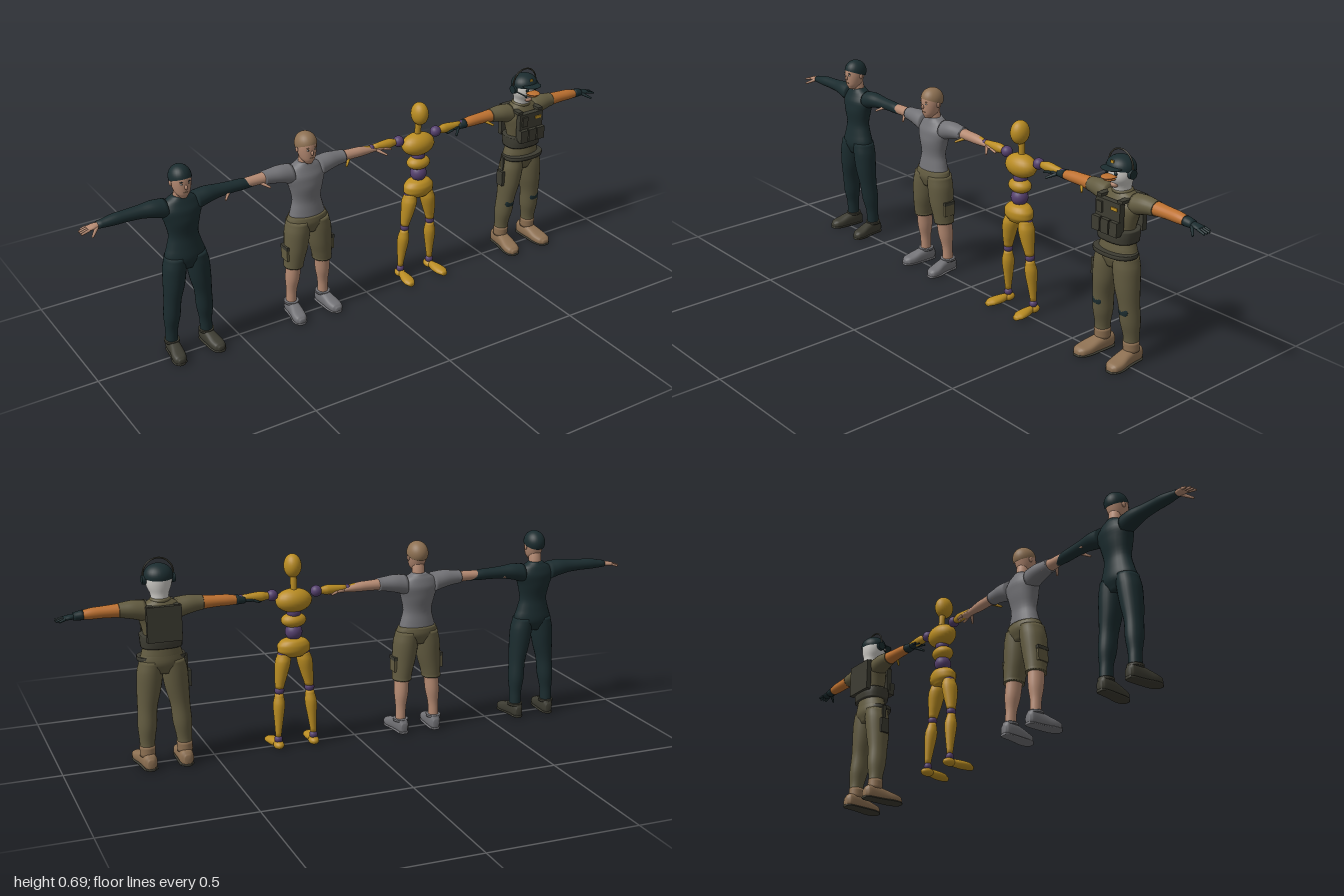
import * as THREE from 'three';

const mat = (name, color) => Object.assign(new THREE.MeshStandardMaterial({ color }), { name });
const M = {
  dark: mat('dark teal cloth', 0x1b2c2f), grey: mat('grey cloth', 0x727276), skin: mat('skin', 0xb58a72),
  khaki: mat('khaki cloth', 0x625b40), orange: mat('orange', 0xbd7130), gold: mat('gold', 0xb98c22),
  purple: mat('purple joint', 0x55406e), tan: mat('tan leather', 0x8d7052), white: mat('off white', 0xcfcdc8),
  gear: mat('dark olive gear', 0x3d3c32),
};

// Frames (u, v, w) for lofts along each axis; w is the lofting direction
const AXES = {
  x: { w: 0, u: [0, 1, 0], v: [0, 0, 1] },
  y: { w: 1, u: [1, 0, 0], v: [0, 0, -1] },
  z: { w: 2, u: [1, 0, 0], v: [0, 1, 0] },
};

// Smooth skin over rings [x, y, z, ru, rv]; e below 1 makes the section squarer
function loft(axis, ringsIn, e = 1, seg = 24, sub = 4) {
  const { w, u, v } = AXES[axis], R = [...ringsIn].sort((a, b) => a[w] - b[w]), rings = [];
  R.slice(0, -1).forEach((b, i) => {
    const a = R[Math.max(i - 1, 0)], c = R[i + 1], d = R[Math.min(i + 2, R.length - 1)];
    for (let s = 0; s < sub; s++) {
      const t = s / sub;
      rings.push(b.map((_, k) => {
        const q = 0.5 * (2 * b[k] + (c[k] - a[k]) * t + (2 * a[k] - 5 * b[k] + 4 * c[k] - d[k]) * t * t
          + (3 * b[k] - a[k] - 3 * c[k] + d[k]) * t ** 3);
        return k === w ? b[k] + (c[k] - b[k]) * t : Math.min(Math.max(q, Math.min(b[k], c[k])), Math.max(b[k], c[k]));
      }));
    }
  });
  rings.push(R[R.length - 1]);
  const pos = [], idx = [], pw = (n) => Math.sign(n) * Math.abs(n) ** e;
  for (const r of rings) for (let j = 0; j < seg; j++) {
    const t = (j / seg) * Math.PI * 2, a = r[3] * pw(Math.cos(t)), b = r[4] * pw(Math.sin(t));
    for (let k = 0; k < 3; k++) pos.push(r[k] + u[k] * a + v[k] * b);
  }
  const n = rings.length, bot = n * seg, top = bot + 1;
  pos.push(...rings[0].slice(0, 3), ...rings[n - 1].slice(0, 3));
  for (let j = 0; j < seg; j++) {
    const k = (j + 1) % seg, L = (n - 1) * seg;
    for (let i = 0; i < n - 1; i++) {
      const a = i * seg + j, b = i * seg + k;
      idx.push(a, b, b + seg, a, b + seg, a + seg);
    }
    idx.push(bot, k, j, top, L + j, L + k);
  }
  const g = new THREE.BufferGeometry();
  g.setAttribute('position', new THREE.Float32BufferAttribute(pos, 3));
  g.setIndex(idx);
  g.computeVertexNormals();
  return g;
}

// Part of a ring list between a and b along an axis, thickened by pad
function cut(rings, w, a, b, pad = 0) {
  const R = [...rings].sort((p, q) => p[w] - q[w]);
  const at = (h) => {
    const i = Math.max(1, R.findIndex((r) => r[w] >= h)), p = R[i - 1], q = R[i], t = (h - p[w]) / (q[w] - p[w]);
    return p.map((n, k) => n + (q[k] - n) * t);
  };
  return [at(a), ...R.filter((r) => r[w] > a + 0.004 && r[w] < b - 0.004), at(b)]
    .map((r) => [r[0], r[1], r[2], r[3] + pad, r[4] + pad]);
}
const mir = (rings, s) => rings.map(([x, ...r]) => [x * s, ...r]);
const ball = (x, y, z, a, b = a, c = a) => new THREE.SphereGeometry(1, 24, 16).scale(a, b, c).translate(x, y, z);
const box = (x, y, z, a, b, c) => new THREE.BoxGeometry(a, b, c).translate(x, y, z);
const dome = (x, y, z, a, b, c, tilt, arc = 0.5) => new THREE.SphereGeometry(1, 28, 12, 0, Math.PI * 2, 0, Math.PI * arc)
  .scale(a, b, c).rotateX(tilt).translate(x, y, z);
// Rounded bar between two points
function limb(p, q, r0, r1 = r0) {
  const a = new THREE.Vector3(...p), d = new THREE.Vector3(...q).sub(a), L = d.length();
  const pts = [[0, -r0 * 0.7], [r0 * 0.7, -r0 * 0.4], [r0, 0], [r1, L], [r1 * 0.7, L + r1 * 0.4], [0, L + r1 * 0.7]];
  return new THREE.LatheGeometry(pts.map((c) => new THREE.Vector2(...c)), 14)
    .applyQuaternion(new THREE.Quaternion().setFromUnitVectors(new THREE.Vector3(0, 1, 0), d.normalize()))
    .translate(...p);
}
function add(group, name, geo, material) {
  const m = new THREE.Mesh(geo, material);
  m.name = name;
  group.add(m);
}
const sides = (f) => [1, -1].forEach((s) => f(s, s > 0 ? 'left' : 'right'));

// Shared body sections
const TORSO = [[0, .315, -.015, .03, .03], [0, .35, -.016, .068, .042], [0, .39, -.017, .059, .038], [0, .43, -.018, .05, .034],
  [0, .48, -.02, .06, .041], [0, .515, -.024, .07, .041], [0, .545, -.027, .052, .031], [0, .562, -.026, .024, .024]];
const LEG = [[.034, .36, -.015, .034, .038], [.04, .32, -.014, .037, .04], [.046, .26, -.014, .034, .037], [.054, .2, -.017, .027, .031],
  [.058, .14, -.022, .026, .029], [.061, .09, -.026, .02, .021], [.062, .04, -.028, .019, .021]];
const ARM = [[.05, .525, -.028, .03, .03], [.09, .532, -.029, .026, .028], [.13, .534, -.03, .02, .022], [.18, .534, -.03, .017, .019],
  [.22, .533, -.03, .016, .018], [.28, .529, -.03, .009, .012]];
const HEAD = [[0, .564, .002, .012, .015], [0, .58, -.005, .024, .029], [0, .605, -.009, .031, .036], [0, .63, -.012, .033, .039],
  [0, .65, -.013, .028, .034], [0, .661, -.014, .014, .018]];

function hands(g, m) {
  sides((s, n) => {
    add(g, n + 'Palm', loft('x', mir([[.268, .529, -.03, .009, .011], [.288, .528, -.03, .008, .016], [.306, .526, -.03, .006, .016]], s)), m);
    [-.044, -.035, -.026, -.017].forEach((z, i) => add(g, n + 'Finger' + (i + 1),
      limb([s * .302, .526, z], [s * (i === 0 ? .32 : .329), .52, z * 1.25 + .0075], .0046, .0035), m));
    add(g, n + 'Thumb', limb([s * .278, .526, -.02], [s * .302, .512, .004], .006, .0035), m);
  });
}

function feet(g, m, sole, k = 1, top = .05) {
  sides((s, n) => {
    const w = .022 * k, foot = [[.06, .02, -.066, .011, .016], [.06, .026, -.055, w * .9, .025], [.061, .026, -.025, w, .026],
      [.064, .023, .005, w * 1.08, .0225], [.068, .018, .035, w * 1.2, .0175], [.07, .015, .06, w, .0145], [.071, .012, .071, w * .5, .009]]
      .map(([x, y, z, a, b]) => [x, y, z * k, a, b]);
    add(g, n + 'Shoe', loft('z', mir(foot, s), .75), m);
    add(g, n + 'ShoeAnkle', loft('y', mir(cut(LEG, 1, .041, top, .006), s)), m);
    add(g, n + 'Sole', loft('z', mir(foot.map(([x, , z, a]) => [x, .004, z * 1.01, a + .001, .004]), s), .6), sole);
  });
}

function face(g, hair) {
  add(g, 'head', loft('y', HEAD), M.skin);
  add(g, 'neck', limb([0, .54, -.025], [0, .59, -.02], .023, .021), M.skin);
  add(g, 'nose', ball(0, .606, .028, .0045, .008, .006), M.skin);
  add(g, 'mouth', ball(0, .588, .0225, .009, .0018, .004), M.tan);
  sides((s, n) => {
    add(g, n + 'Ear', ball(s * .033, .612, -.014, .004, .01, .007), M.skin);
    add(g, n + 'Eye', ball(s * .012, .617, .023, .005, .0028, .003), M.white);
    add(g, n + 'Pupil', ball(s * .012, .617, .0255, .002, .0022, .001), M.dark);
    add(g, n + 'Brow', ball(s * .012, .624, .0235, .007, .0015, .003), hair);
  });
  add(g, 'hair', dome(0, .627, -.014, .036, .04, .042, -.35, .56), hair);
}

// Figure in a dark one-piece suit
function suitedFigure(g) {
  face(g, M.dark);
  add(g, 'suitTorso', loft('y', TORSO), M.dark);
  sides((s, n) => {
    add(g, n + 'Sleeve', loft('x', mir(cut(ARM, 0, .05, .272, .002), s)), M.dark);
    add(g, n + 'Trouser', loft('y', mir(cut(LEG, 1, .041, .359, .001), s)), M.dark);
  });
  hands(g, M.skin);
  feet(g, M.gear, M.gear, .9);
}

// Figure in a tee and cargo shorts
function casualFigure(g) {
  face(g, M.tan);
  add(g, 'teeTorso', loft('y', cut(TORSO, 1, .37, .562, .001)), M.grey);
  add(g, 'shortsSeat', loft('y', cut(TORSO, 1, .316, .376, .005)), M.khaki);
  sides((s, n) => {
    add(g, n + 'Arm', loft('x', mir(cut(ARM, 0, .1, .279), s)), M.skin);
    add(g, n + 'Sleeve', loft('x', mir(cut(ARM, 0, .05, .15, .004), s)), M.grey);
    add(g, n + 'Leg', loft('y', mir(cut(LEG, 1, .041, .25, -.002), s)), M.skin);
    add(g, n + 'ShortsLeg', loft('y', mir(cut(LEG, 1, .188, .359, .006), s)), M.khaki);
    add(g, n + 'CargoPocket', box(s * .084, .245, -.016, .012, .05, .04), M.khaki);
    add(g, n + 'PocketFlap', box(s * .085, .266, -.016, .013, .012, .043), M.gear);
  });
  hands(g, M.skin);
  feet(g, M.grey, M.grey, .92);
}

// Jointed wooden dummy
function dummyFigure(g) {
  add(g, 'head', ball(0, .622, -.015, .029, .04, .034), M.gold);
  add(g, 'neck', limb([0, .54, -.025], [0, .585, -.022], .011), M.gold);
  add(g, 'chest', ball(0, .508, -.022, .062, .04, .042), M.gold);
  add(g, 'upperWaistJoint', ball(0, .467, -.02, .024), M.purple);
  add(g, 'waist', ball(0, .44, -.018, .043, .025, .034), M.gold);
  add(g, 'lowerWaistJoint', ball(0, .4, -.017, .029), M.purple);
  add(g, 'pelvis', loft('y', [[0, .318, -.015, .035, .028], [0, .335, -.015, .056, .038], [0, .355, -.015, .056, .04],
    [0, .372, -.016, .042, .032], [0, .381, -.016, .018, .015]]), M.gold);
  sides((s, n) => {
    add(g, n + 'ShoulderJoint', ball(s * .076, .533, -.028, .019), M.purple);
    add(g, n + 'UpperArm', loft('x', mir([[.088, .533, -.029, .011, .011], [.115, .534, -.03, .016, .016], [.178, .534, -.03, .011, .011]], s)), M.gold);
    add(g, n + 'ElbowJoint', ball(s * .184, .534, -.03, .012), M.purple);
    add(g, n + 'Forearm', loft('x', mir([[.19, .534, -.03, .01, .01], [.215, .533, -.03, .014, .014], [.262, .53, -.03, .008, .008]], s)), M.gold);
    add(g, n + 'WristJoint', ball(s * .267, .53, -.03, .009), M.purple);
    add(g, n + 'HipJoint', ball(s * .033, .325, -.015, .022), M.purple);
    add(g, n + 'Thigh', loft('y', mir([[.052, .21, -.017, .015, .016], [.046, .25, -.015, .021, .023], [.038, .3, -.014, .026, .029], [.034, .33, -.014, .02, .022]], s)), M.gold);
    add(g, n + 'KneeJoint', ball(s * .053, .202, -.018, .0165), M.purple);
    add(g, n + 'Shin', loft('y', mir([[.062, .045, -.028, .01, .011], [.059, .1, -.025, .015, .017], [.056, .155, -.021, .02, .022], [.054, .192, -.018, .014, .015]], s)), M.gold);
    add(g, n + 'AnkleJoint', ball(s * .062, .034, -.028, .014), M.purple);
    add(g, n + 'Heel', ball(s * .062, .014, -.03, .018, .014, .024), M.gold);
    add(g, n + 'Foot', loft('z', mir([[.063, .015, -.02, .012, .013], [.066, .014, .01, .019, .014], [.069, .013, .04, .021, .012], [.07, .01, .06, .011, .008]], s)), M.gold);
  });
  hands(g, M.gold);
}

// Bird-headed figure in field gear
function fieldFigure(g) {
  add(g, 'head', loft('y', [[0, .545, -.026, .027, .028], [0, .575, -.021, .03, .032], [0, .6, -.015, .04, .042],
    [0, .625, -.014, .043, .044], [0, .65, -.014, .036, .037], [0, .664, -.014, .016, .016]]), M.white);
  add(g, 'upperBill', ball(0, .613, .036, .023, .006, .028), M.orange);
  add(g, 'lowerBill', ball(0, .604, .03, .018, .004, .024), M.orange);
  add(g, 'throat', ball(0, .583, .01, .014, .011, .014), M.skin);
  add(g, 'cap', dome(0, .632, -.015, .047, .038, .046, -.1, .55), M.dark);
  add(g, 'capBrim', ball(0, .637, .026, .035, .004, .032).rotateX(0), M.dark);
  add(g, 'capBadge', box(0, .66, .027, .012, .008, .003).translate(0, -.004, -.003), M.gold);
  add(g, 'headband', new THREE.TorusGeometry(.049, .0028, 8, 32, Math.PI).translate(0, .638, -.013), M.gear);
  sides((s, n) => {
    add(g, n + 'Earphone', new THREE.CylinderGeometry(.015, .015, .012, 20).rotateZ(Math.PI / 2).translate(s * .047, .62, -.013), M.dark);
    add(g, n + 'HeadbandEnd', limb([s * .049, .62, -.013], [s * .049, .638, -.013], .0028), M.gear);
    add(g, n + 'Eye', ball(s * .016, .622, .0255, .006, .007, .004), M.dark);
  });
  add(g, 'microphoneBoom', limb([-.049, .617, -.01], [-.026, .603, .03], .002), M.dark);
  add(g, 'microphone', ball(-.025, .602, .031, .004), M.dark);
  add(g, 'shirt', loft('y', cut(TORSO, 1, .37, .562, .005)), M.khaki);
  add(g, 'collar', new THREE.TorusGeometry(.027, .007, 10, 28).rotateX(Math.PI / 2).translate(0, .557, -.026), M.khaki);
  add(g, 'trouserSeat', loft('y', cut(TORSO, 1, .316, .385, .005)), M.khaki);
  add(g, 'belt', loft('y', [[0, .358, -.005, .078, .05], [0, .365, -.005, .079, .051], [0, .372, -.005, .078, .05]], .85), M.gear);
  add(g, 'vestGirdle', loft('y', [[0, .403, -.016, .066, .05], [0, .425, -.016, .068, .052], [0, .445, -.016, .069, .05]], .75), M.gear);
  add(g, 'chestPanel', box(0, .487, .027, .1, .1, .02), M.gear);
  add(g, 'backPack', box(0, .487, -.068, .112, .115, .018), M.gear);
  for (const x of [-.036, 0, .036]) add(g, 'frontPouch', box(x, .457, .041, .031, .046, .018), M.gear);
  add(g, 'chestRadio', box(-.03, .51, .038, .022, .035, .01), M.gear);
  add(g, 'chestPatch', box(.028, .517, .0385, .026, .01, .004), M.gold);
  sides((s, n) => {
    add(g, n + 'ShoulderStrap', box(s * .043, .541, -.02, .02, .01, .1), M.gear);
    add(g, n + 'Sleeve', loft('x', mir(cut(ARM, 0, .05, .135, .004), s)), M.khaki);
    add(g, n + 'Arm', loft('x', mir(cut(ARM, 0, .12, .255, .002), s)), M.orange);
    add(g, n + 'GloveCuff', loft('x', mir(cut(ARM, 0, .245, .275, .003), s)), M.dark);
    add(g, n + 'TrouserLeg', loft('y', mir(cut(LEG, 1, .06, .359, .005), s)), M.khaki);
    add(g, n + 'KneePad', ball(s * .056, .183, .009, .019, .022, .008), M.dark);
  });
  add(g, 'holster', box(-.085, .285, -.012, .014, .055, .032), M.gear);
  add(g, 'holsterStrap', box(-.081, .335, -.012, .006, .06, .014), M.gear);
  hands(g, M.dark);
  feet(g, M.tan, M.gear, 1.1, .076);
}

export function createModel() {
  const model = new THREE.Group();
  model.name = 'figureLineup';
  [['suitedFigure', suitedFigure], ['casualFigure', casualFigure], ['dummyFigure', dummyFigure], ['fieldFigure', fieldFigure]]
    .forEach(([name, build], i) => {
      const g = new THREE.Group();
      g.name = name;
      g.position.x = -.667 + i * .4447;
      build(g);
      model.add(g);
    });
  return model;
}
